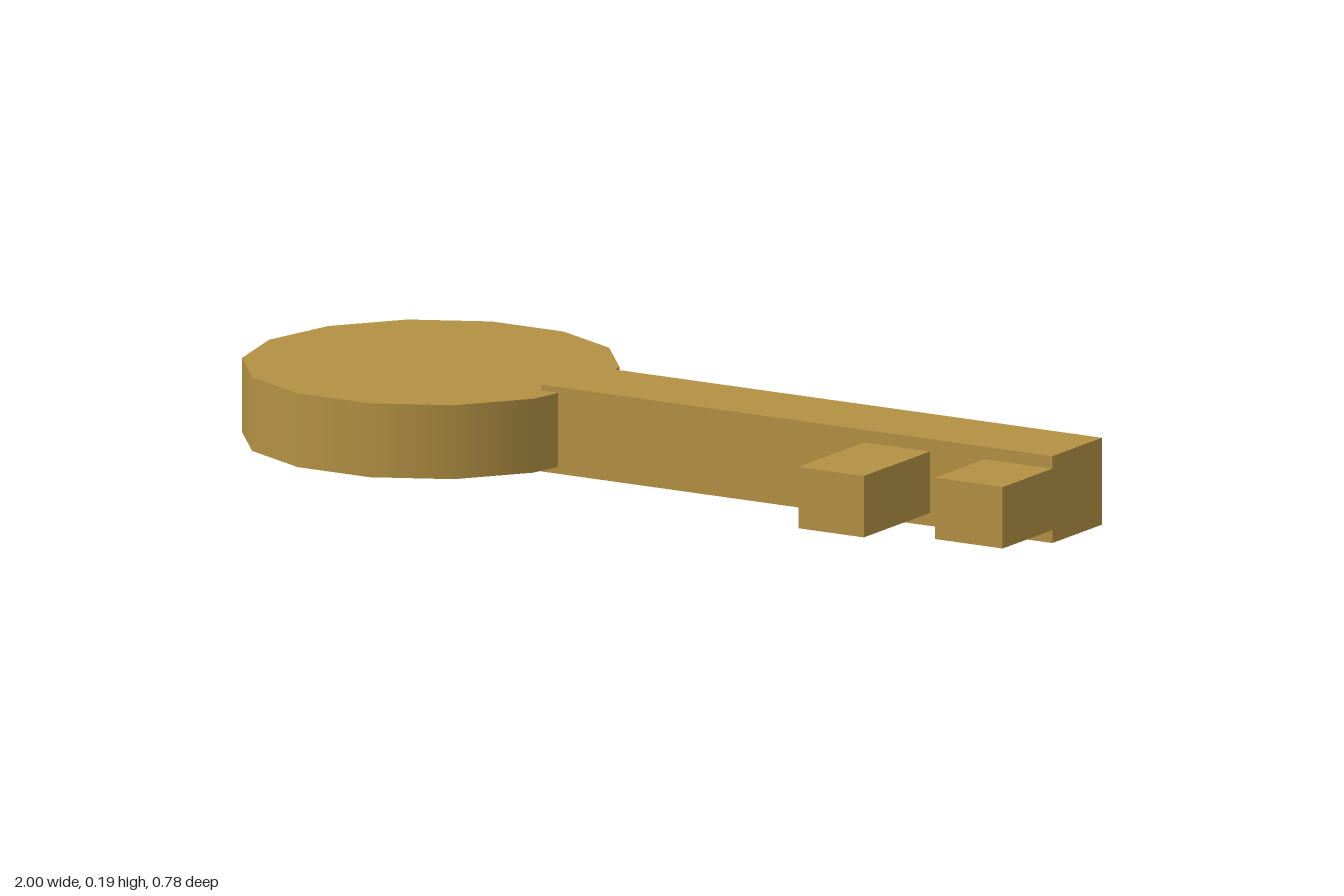
import * as THREE from 'three';

export function createModel() {
  const group = new THREE.Group();
  group.name = 'key';
  const brass = new THREE.MeshStandardMaterial({ color: 0xb39143 });
  brass.name = 'brass';

  // Box given by its lower and upper corners
  const addBox = (name, [x0, y0, z0], [x1, y1, z1]) => {
    const mesh = new THREE.Mesh(new THREE.BoxGeometry(x1 - x0, y1 - y0, z1 - z0), brass);
    mesh.position.set((x0 + x1) / 2, (y0 + y1) / 2, (z0 + z1) / 2);
    mesh.name = name;
    group.add(mesh);
  };

  // Round bow: a solid 14-sided disc with a smooth rim, corners on the x axis
  const bow = new THREE.Mesh(new THREE.CylinderGeometry(0.4, 0.4, 0.16, 14), brass);
  bow.name = 'bow';
  bow.rotation.y = Math.PI / 2;
  bow.position.set(-0.6, 0.095, 0);
  group.add(bow);

  // Square shaft, slightly thicker than the bow
  addBox('shaft', [-0.265, 0, -0.1], [1, 0.188, 0.1]);

  // Two teeth on the front side, the inner one longer
  addBox('innerTooth', [0.535, 0.028, 0.1], [0.697, 0.161, 0.366]);
  addBox('outerTooth', [0.833, 0.028, 0.1], [1, 0.161, 0.3]);

  return group;
}
